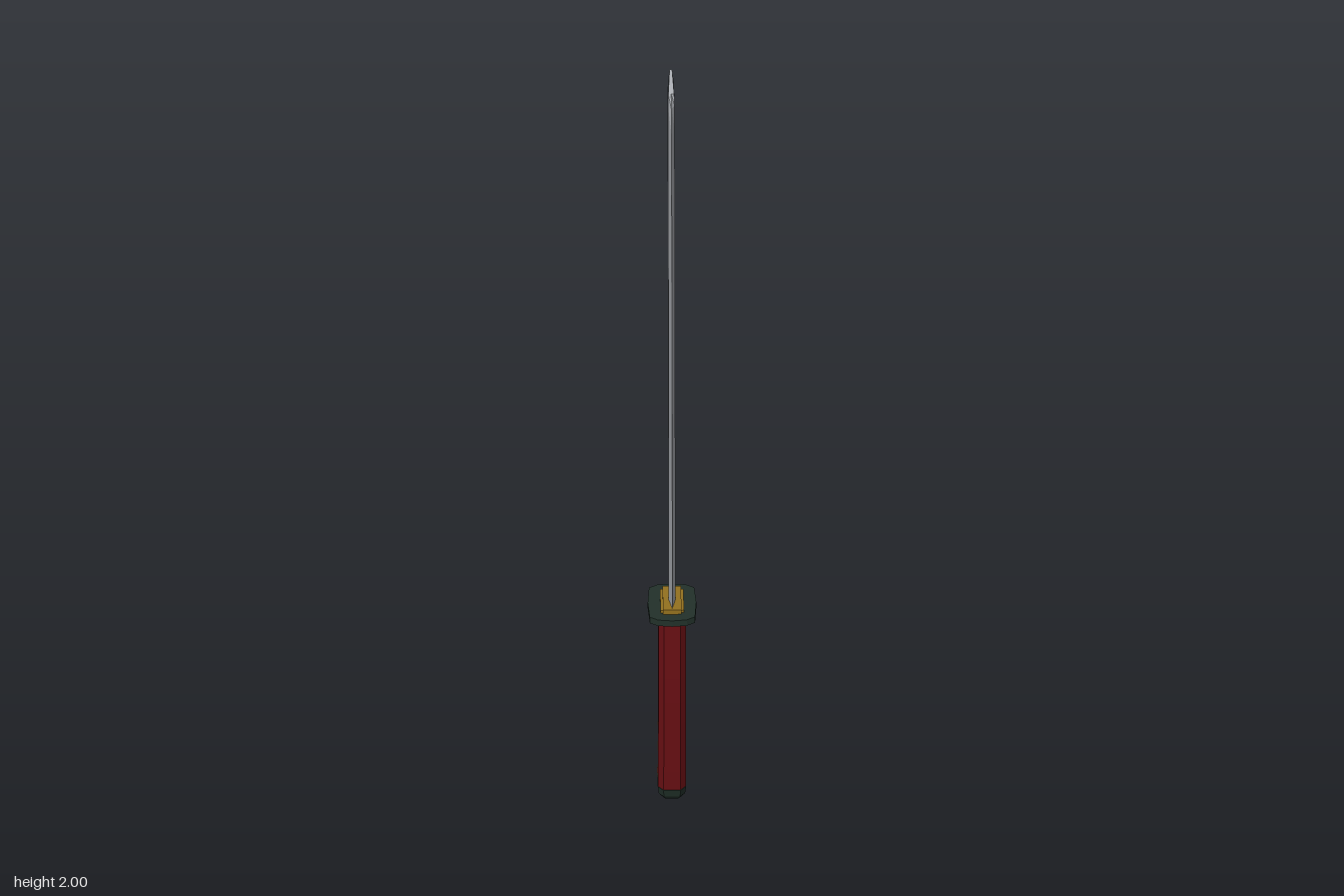
import * as THREE from 'three';

const mat = (name, color) => {
  const m = new THREE.MeshStandardMaterial({ color });
  m.name = name;
  return m;
};

// Joins rings of points (clockwise seen from above, listed upwards) with flat faces.
function loft(rings, sides, caps = false) {
  const pos = [];
  const tri = (...pts) => pts.forEach((p) => pos.push(...p));
  const n = rings[0].length;
  for (let r = 0; r < rings.length - 1; r++) {
    for (const i of sides ?? rings[0].keys()) {
      const j = (i + 1) % n, lo = rings[r], hi = rings[r + 1];
      tri(lo[i], hi[i], hi[j]);
      tri(lo[i], hi[j], lo[j]);
    }
  }
  if (caps) {
    const bottom = rings[0], top = rings[rings.length - 1];
    for (let i = 1; i < n - 1; i++) {
      tri(bottom[0], bottom[i], bottom[i + 1]);
      tri(top[0], top[i + 1], top[i]);
    }
  }
  const geo = new THREE.BufferGeometry();
  geo.setAttribute('position', new THREE.Float32BufferAttribute(pos, 3));
  geo.computeVertexNormals();
  return geo;
}

// Centre line of the curved grip: z for a given height.
const gripCurve = new THREE.SplineCurve([
  [0, 0.009], [0.1, 0.018], [0.2, 0.027], [0.3, 0.035], [0.4, 0.041], [0.5, 0.045], [0.6, 0.048],
].map(([y, z]) => new THREE.Vector2(y, z)));
const gripZ = (y) => gripCurve.getPoint(y / 0.6).y;

// Eight-sided grip section at a height, scaled by s.
function gripRing(y, s = 1) {
  const section = [[-0.02, -0.045], [0.02, -0.045], [0.033, -0.029], [0.033, 0.029],
    [0.02, 0.045], [-0.02, 0.045], [-0.033, 0.029], [-0.033, -0.029]];
  return section.map(([x, z]) => [x * s, y, gripZ(y) + z * s]);
}

export function createModel() {
  const group = new THREE.Group();
  const steel = mat('dark steel', 0x555c64);
  const edgeSteel = mat('polished steel', 0xa6a9ae);
  const red = mat('red wrap', 0x6b1014);
  const beige = mat('beige rayskin', 0xc4a46e);
  const green = mat('dark green iron', 0x22312a);
  const gold = mat('gold', 0x94711f);
  const add = (name, geo, material) => {
    const mesh = new THREE.Mesh(geo, material);
    mesh.name = name;
    group.add(mesh);
    return mesh;
  };

  // Blade stations: y, z of edge, ridge and spine, half thickness
  const blade = [
    [0.57, 0.09, 0.053, 0.0, 0.008],
    [0.8, 0.086, 0.046, -0.002, 0.008],
    [1.0, 0.077, 0.035, -0.01, 0.008],
    [1.3, 0.053, 0.01, -0.035, 0.008],
    [1.6, 0.02, -0.021, -0.069, 0.008],
    [1.88, -0.02, -0.052, -0.105, 0.008],
    [1.94, -0.045, -0.061, -0.114, 0.008],
    [1.968, -0.068, -0.068, -0.119, 0.007],
    [2.0, -0.125, -0.125, -0.125, 0.003],
  ].map(([y, edge, ridge, spine, t]) => [
    [-t, y, spine], [t, y, spine], [t, y, ridge], [0, y, edge], [-t, y, ridge],
  ]);
  add('bladeBody', loft(blade, [0, 1, 4]), steel);
  add('bladeEdge', loft(blade, [2, 3]), edgeSteel);

  // Hand guard
  const guard = [[0, -0.079], [0.034, -0.075], [0.054, -0.0625], [0.058, 0], [0.054, 0.0625], [0.034, 0.075],
    [0, 0.079], [-0.034, 0.075], [-0.054, 0.0625], [-0.058, 0], [-0.054, -0.0625], [-0.034, -0.075]];
  const guardRing = (y) => guard.map(([x, z]) => [x, y, z + 0.046]);
  add('handGuard', loft([guardRing(0.56), guardRing(0.577)], null, true), green);

  // Stepped collar at the blade root
  add('collar', new THREE.BoxGeometry(0.044, 0.016, 0.103), gold).position.set(0, 0.581, 0.0455);
  add('collarRim', new THREE.BoxGeometry(0.056, 0.01, 0.09), gold).position.set(0, 0.579, 0.0455);

  // Curved grip
  const heights = [0.04, 0.1, 0.17, 0.24, 0.31, 0.38, 0.45, 0.51, 0.565];
  add('grip', loft(heights.map((y) => gripRing(y)), null, true), red);

  // Rounded pommel
  const pommel = [[0, 0.45], [0.008, 0.75], [0.02, 0.95], [0.042, 1.03]];
  add('pommel', loft(pommel.map(([y, s]) => gripRing(y, s)), null, true), green);

  // Diamond openings of the wrap on both sides
  for (const side of [-1, 1]) {
    for (const y of [0.062, 0.134, 0.2, 0.267, 0.328, 0.395, 0.462, 0.53]) {
      const d = add('gripDiamond', new THREE.CircleGeometry(1, 6), beige);
      d.scale.set(0.028, 0.022, 1);
      d.rotation.y = side * Math.PI / 2;
      d.position.set(side * 0.0345, y, gripZ(y));
    }
  }
  return group;
}
